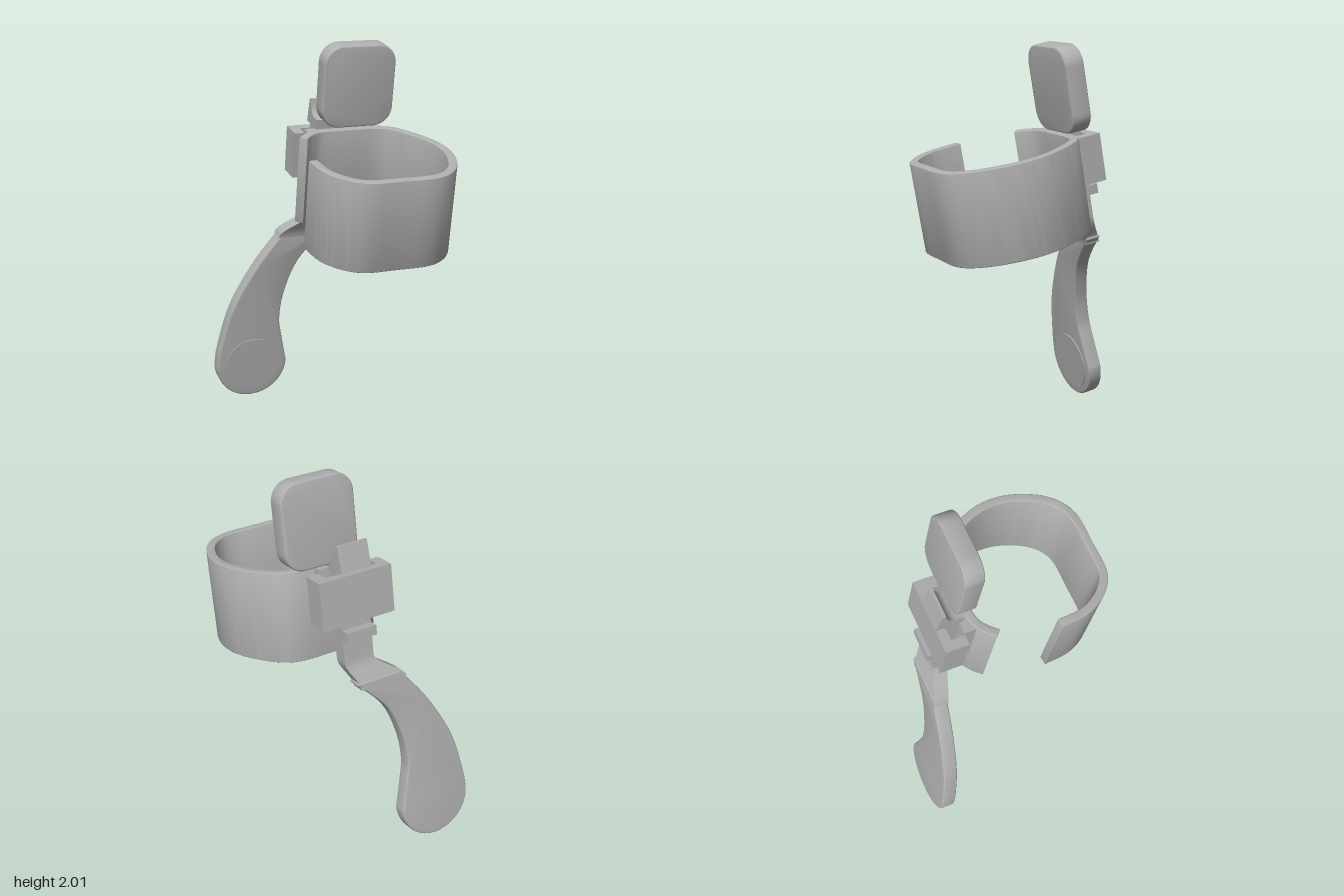
import * as THREE from 'three';
import { toCreasedNormals } from 'three/addons/utils/BufferGeometryUtils.js';

const vecs = (pts) => pts.map(([x, y]) => new THREE.Vector2(x, y));

// Extrusion whose bevel stays inside the given outline and depth
function extrude(shape, depth, bevel = 0) {
  return new THREE.ExtrudeGeometry(shape, {
    depth: depth - 2 * bevel, curveSegments: 16, bevelEnabled: bevel > 0,
    bevelThickness: bevel, bevelSize: bevel, bevelOffset: -bevel, bevelSegments: 3,
  }).translate(0, 0, bevel);
}

function roundedRect(w, h, r) {
  const s = new THREE.Shape();
  s.absarc(w / 2 - r, h / 2 - r, r, 0, Math.PI / 2);
  s.absarc(-w / 2 + r, h / 2 - r, r, Math.PI / 2, Math.PI);
  s.absarc(-w / 2 + r, -h / 2 + r, r, Math.PI, Math.PI * 1.5);
  s.absarc(w / 2 - r, -h / 2 + r, r, Math.PI * 1.5, Math.PI * 2);
  return s;
}

// Box given by its lower and upper corners
function block(x0, x1, y0, y1, z0, z1) {
  return new THREE.BoxGeometry(x1 - x0, y1 - y0, z1 - z0)
    .translate((x0 + x1) / 2, (y0 + y1) / 2, (z0 + z1) / 2);
}

export function createModel() {
  const group = new THREE.Group();
  const grey = new THREE.MeshStandardMaterial({ color: 0xb0b0b0 });
  grey.name = 'plain grey';
  const add = (name, geometry) => {
    const mesh = new THREE.Mesh(toCreasedNormals(geometry, 0.5), grey);
    mesh.name = name;
    group.add(mesh);
  };

  // Open cuff: a plan curve thickened inwards and extruded upwards
  const plan = new THREE.SplineCurve(vecs([
    [-0.22, -0.03], [-0.208, 0.1], [-0.171, 0.192], [-0.106, 0.27], [-0.02, 0.314],
    [0.135, 0.316], [0.295, 0.314], [0.394, 0.275], [0.474, 0.186], [0.528, 0.05],
    [0.541, -0.07], [0.522, -0.18], [0.466, -0.3], [0.39, -0.405], [0.295, -0.448],
    [0.135, -0.452], [-0.02, -0.448], [-0.1, -0.41], [-0.155, -0.352],
  ]));
  const outer = [], inner = [];
  for (let i = 0; i <= 90; i++) {
    const p = plan.getPoint(i / 90), t = plan.getTangent(i / 90);
    outer.push(p);
    inner.unshift(new THREE.Vector2(p.x + t.y * 0.046, p.y - t.x * 0.046));
  }
  add('cuff', extrude(new THREE.Shape([...outer, ...inner]), 0.47, 0.008)
    .rotateX(Math.PI / 2).translate(0, 1.5, 0));

  // Plate joining the cuff to the clamp
  add('mountPlate', block(-0.08, 0.2, 1.2, 1.49, -0.488, -0.425));

  // U-shaped clamp that holds the lever neck
  const clamp = new THREE.Shape(vecs([
    [-0.134, -0.605], [0.262, -0.605], [0.262, -0.482], [0.2, -0.482],
    [0.2, -0.555], [-0.08, -0.555], [-0.08, -0.482], [-0.134, -0.482],
  ]));
  add('clamp', extrude(clamp, 0.245).rotateX(Math.PI / 2).translate(0, 1.47, 0));

  // Paddle: curved blade ending in a round tip
  const paddle = new THREE.Shape();
  paddle.moveTo(0.107, 0.9);
  paddle.lineTo(-0.14, 0.9);
  paddle.splineThru(vecs([[-0.291, 0.698], [-0.419, 0.455], [-0.482, 0.21], [-0.495, 0.098]]));
  paddle.absarc(-0.295, 0.098, 0.2, Math.PI, Math.PI * 2);
  paddle.splineThru(vecs([[-0.128, 0.255], [-0.146, 0.374], [-0.125, 0.536],
    [-0.05, 0.723], [0.107, 0.89]]));
  add('paddle', extrude(paddle, 0.08, 0.012).translate(0, 0, -0.61));

  // Round thumb disc on the paddle
  add('paddleDisc', new THREE.CylinderGeometry(0.157, 0.157, 0.008, 48)
    .rotateX(Math.PI / 2).translate(-0.295, 0.098, -0.529));

  // Neck: narrows and steps forward as it rises from the paddle
  const neck = new THREE.BoxGeometry(1, 0.64, 0.08, 1, 32, 1).translate(0, 1.18, -0.57);
  const pos = neck.attributes.position;
  for (let i = 0; i < pos.count; i++) {
    const t = THREE.MathUtils.smoothstep(pos.getY(i), 0.86, 1.01);
    const left = THREE.MathUtils.lerp(-0.175, -0.02, t);
    const right = THREE.MathUtils.lerp(0.085, 0.143, t);
    pos.setX(i, pos.getX(i) < 0 ? left : right);
    pos.setZ(i, pos.getZ(i) + 0.045 * t);
  }
  add('neck', neck);

  // Stop below the clamp and hook above it
  add('lowerStop', block(-0.02, 0.143, 1.135, 1.185, -0.615, -0.487));
  const hook = new THREE.Shape();
  hook.moveTo(-0.47, 1.49);
  hook.lineTo(-0.47, 1.54);
  hook.lineTo(-0.515, 1.54);
  hook.quadraticCurveTo(-0.56, 1.55, -0.573, 1.62);
  hook.lineTo(-0.59, 1.62);
  hook.lineTo(-0.613, 1.49);
  add('upperHook', extrude(hook, 0.163).rotateY(-Math.PI / 2).translate(0.143, 0, 0));

  // Upright rounded pad
  add('pad', extrude(roundedRect(0.39, 0.435, 0.1), 0.105, 0.012)
    .translate(0.178, 1.729, -0.512));

  // Lean and turn of the whole assembly
  group.rotation.set(THREE.MathUtils.degToRad(10), THREE.MathUtils.degToRad(10), 0, 'YXZ');
  const model = new THREE.Group();
  model.name = 'cuffWithLever';
  group.name = 'assembly';
  model.add(group);
  return model;
}
